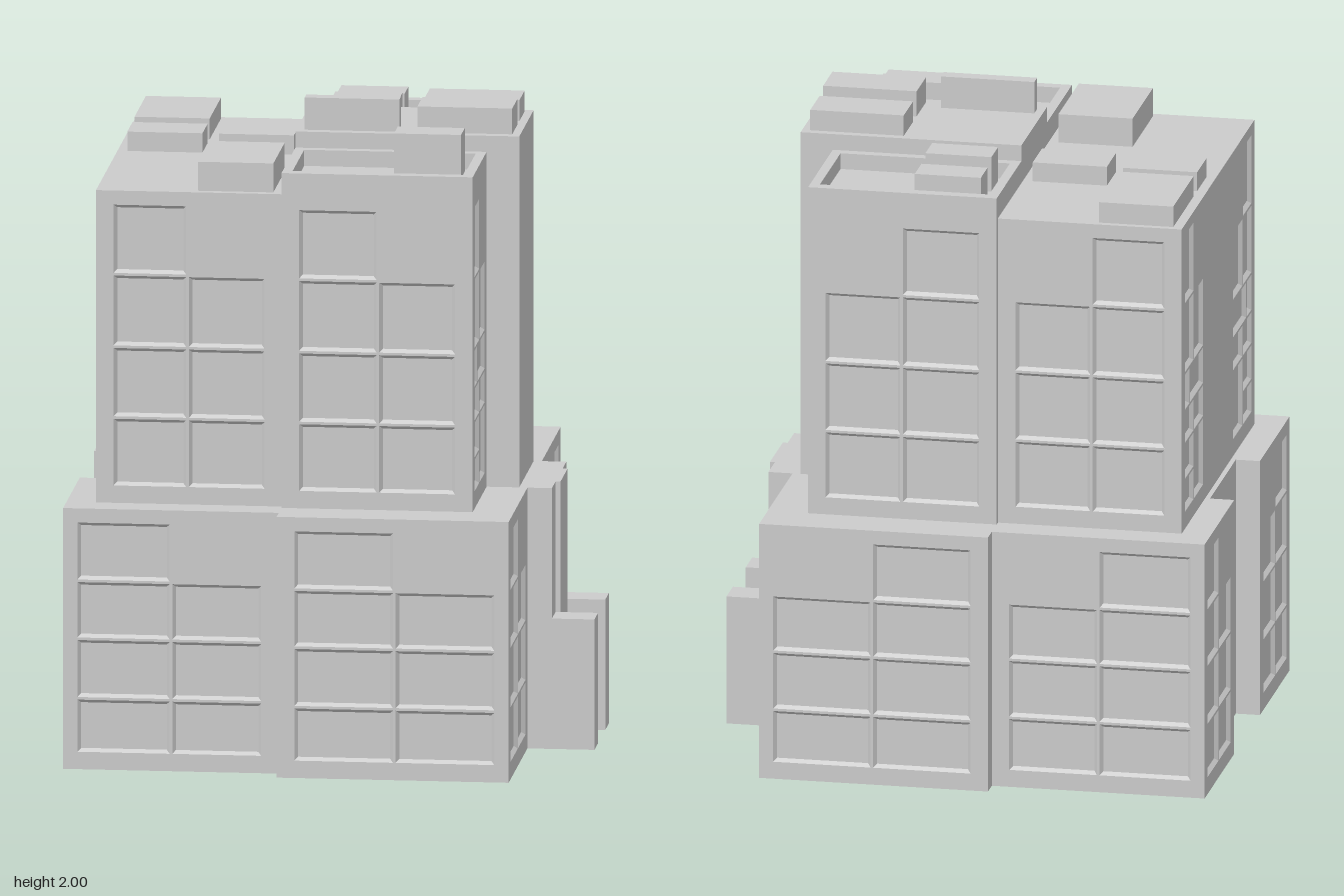
import * as THREE from 'three';
import { mergeGeometries } from 'three/addons/utils/BufferGeometryUtils.js';

const grey = new THREE.MeshStandardMaterial({ color: 0xcccccc, flatShading: true, side: THREE.DoubleSide });

function add(parent, name, geometry) {
  const mesh = new THREE.Mesh(geometry, grey);
  mesh.name = name;
  parent.add(mesh);
  return mesh;
}

function block(parent, name, x0, x1, y0, y1, z0, z1) {
  const g = new THREE.BoxGeometry(x1 - x0, y1 - y0, z1 - z0);
  add(parent, name, g.translate((x0 + x1) / 2, (y0 + y1) / 2, (z0 + z1) / 2));
}

const corners = ([u0, u1, v0, v1]) => [[u0, v0], [u1, v0], [u1, v1], [u0, v1]];
const toPath = (pts, Type = THREE.Path) => new Type(pts.map(([x, y]) => new THREE.Vector2(x, y)));

// Sunken cell: a floor and four (optionally sloping) sides
function sunkCell([u0, u1, v0, v1], depth, slope) {
  const rim = corners([u0, u1, v0, v1]).map(([u, v]) => [u, v, 0]);
  const floor = corners([u0 + slope, u1 - slope, v0 + slope, v1 - slope]).map(([u, v]) => [u, v, -depth]);
  const index = [4, 5, 6, 4, 6, 7];
  for (let i = 0; i < 4; i++) {
    const j = (i + 1) % 4;
    index.push(i, j, j + 4, i, j + 4, i + 4);
  }
  const g = new THREE.BufferGeometry();
  g.setAttribute('position', new THREE.Float32BufferAttribute([...rim, ...floor].flat(), 3));
  g.setIndex(index);
  const flat = g.toNonIndexed();
  flat.computeVertexNormals();
  return flat;
}

// Flat face in the xy plane with sunken cells
function face(points, cells = [], depth = 0.012, slope = 0.01) {
  const shape = toPath(points, THREE.Shape);
  shape.holes = cells.map((c) => toPath(corners(c).reverse()));
  const plane = new THREE.ShapeGeometry(shape).toNonIndexed();
  plane.deleteAttribute('uv');
  return mergeGeometries([plane, ...cells.map((c) => sunkCell(c, depth, slope))]);
}

// Two columns of windows; the top row has only the outer one
function windows(a, m, b, rows, len, flip = false, detailed = false) {
  const cells = [];
  const put = (u0, u1, v0, v1) => {
    const g = 0.004;
    const [s, e] = flip ? [len - u1, len - u0] : [u0, u1];
    cells.push([s + g, e - g, v0 + g, v1 - g]);
  };
  for (let i = 0; i < rows.length - 1; i++) {
    const split = detailed && i === 2 ? m - 0.06 : m;
    put(a, split, rows[i], rows[i + 1]);
    if (i < rows.length - 2) put(split, b, rows[i], rows[i + 1]);
  }
  // Extra sill in the outer column of the lowest storey
  if (detailed) {
    const i = flip ? [len - m, len - a] : [a, m];
    const g = 0.004;
    cells[0] = [i[0] + g, i[1] - g, rows[0] + g, 0.961];
    cells.push([i[0] + g, i[1] - g, 0.969, rows[1] - g]);
  }
  return cells;
}

// Walls along a closed plan outline, each edge with its own windows
function walls(parent, name, outline, y0, y1, cellsByEdge = {}) {
  outline.forEach(([x0, z0], i) => {
    const [x1, z1] = outline[(i + 1) % outline.length];
    const len = Math.hypot(x1 - x0, z1 - z0);
    const mesh = add(parent, name, face(corners([0, len, y0, y1]), cellsByEdge[i]));
    mesh.position.set(x0, 0, z0);
    mesh.rotation.y = Math.atan2(z0 - z1, x1 - x0);
  });
}

// Horizontal roof over a plan outline, with optional sunken wells
function roof(parent, name, outline, y, wells = []) {
  const g = face(outline.map(([x, z]) => [x, -z]), wells, 0.05, 0);
  add(parent, name, g.rotateX(-Math.PI / 2).translate(0, y, 0));
}

const plan = (x0, x1, z0, z1) => [[x0, z1], [x1, z1], [x1, z0], [x0, z0]];

export function createModel() {
  const model = new THREE.Group();
  model.name = 'building';
  const ledge = 0.81;

  // Wide lower storeys: hollow shell with a ring-shaped underside
  const podium = new THREE.Group();
  podium.name = 'podium';
  model.add(podium);
  const base = [
    [-0.79, 0.66], [-0.13, 0.66], [-0.13, 0.72], [0.58, 0.72], [0.58, 0.2], [0.58, -0.2], [0.58, -0.72],
    [-0.13, -0.72], [-0.13, -0.66], [-0.79, -0.66], [-0.79, -0.2], [-0.715, -0.2], [-0.715, 0.2], [-0.79, 0.2],
  ];
  const low = [0.05, 0.22, 0.405, 0.585, 0.77];
  walls(podium, 'podiumWall', base, 0, ledge, {
    0: windows(0.04, 0.33, 0.61, low, 0.66),
    2: windows(0.05, 0.36, 0.67, low, 0.71),
    4: windows(0.05, 0.26, 0.47, low, 0.52),
    5: undefined,
    3: windows(0.05, 0.26, 0.47, low, 0.52),
    4: undefined,
    5: windows(0.05, 0.26, 0.47, low, 0.52, true),
    6: windows(0.05, 0.36, 0.67, low, 0.71, true),
    8: windows(0.04, 0.33, 0.61, low, 0.66, true),
    9: windows(0.04, 0.22, 0.41, low, 0.46),
    13: windows(0.04, 0.22, 0.41, low, 0.46, true),
  });
  roof(podium, 'podiumLedge', base, ledge);
  const under = toPath(base, THREE.Shape);
  under.holes.push(toPath(corners([-0.57, 0.28, -0.37, 0.37])));
  add(podium, 'underside', new THREE.ShapeGeometry(under).rotateX(Math.PI / 2));

  // Entrance projection with two low fins
  block(podium, 'entranceBay', 0.58, 0.67, 0, ledge, -0.1, 0.1);
  for (const [z0, z1] of [[0.1, 0.2], [-0.2, -0.1]]) {
    block(podium, 'entrancePier', 0.58, 0.655, 0, ledge, z0, z1);
    block(podium, 'entranceFin', 0.655, 0.785, 0, 0.405, z0, z1);
  }

  // Upper storeys
  const tower = new THREE.Group();
  tower.name = 'tower';
  model.add(tower);
  const high = [0.86, 1.075, 1.295, 1.52, 1.74];
  const side = [0.86, 1.08, 1.185, 1.305, 1.525, 1.75];

  const wing = plan(-0.7, -0.13, -0.565, 0.565);
  walls(tower, 'wingWall', wing, ledge, 1.78, {
    0: windows(0.05, 0.28, 0.52, high, 0.57),
    2: windows(0.05, 0.28, 0.52, high, 0.57, true),
    3: [false, true].flatMap((flip) => windows(0.045, 0.185, 0.335, side, 1.13, flip, true)),
  });
  roof(tower, 'wingRoof', wing, 1.78);

  const core = plan(-0.13, 0.555, -0.2, 0.2);
  walls(tower, 'coreWall', core, ledge, 1.9);
  roof(tower, 'coreRoof', core, 1.9);

  // Front and back blocks with parapets round a sunken roof
  for (const s of [1, -1]) {
    const z = [0.2 * s, 0.585 * s].sort((a, b) => a - b);
    const well = [-0.23 * s, -0.55 * s].sort((a, b) => a - b);
    const outline = plan(-0.13, 0.455, ...z);
    const broad = windows(0.05, 0.295, 0.535, high, 0.585, s < 0);
    walls(tower, 'blockWall', outline, ledge, 1.85, {
      [s > 0 ? 0 : 2]: broad,
      1: windows(0.045, 0.185, 0.335, side, 0.385, s < 0, true),
    });
    roof(tower, 'parapetRoof', outline, 1.85, [[-0.1, 0.425, ...well]]);
  }

  // Rooftop plant: x0, x1, z0, z1, bottom, top
  const plant = [
    [-0.67, -0.44, -0.545, -0.23, 1.78, 1.845],
    [-0.67, -0.44, -0.175, -0.03, 1.78, 1.84],
    [-0.39, -0.16, -0.175, -0.03, 1.78, 1.84],
    [-0.39, -0.16, 0.225, 0.54, 1.78, 1.87],
    [0.24, 0.53, -0.175, -0.03, 1.9, 1.965],
    [0.24, 0.53, 0.025, 0.17, 1.9, 1.98],
    [-0.105, 0.185, 0.125, 0.17, 1.9, 2],
    [0.19, 0.395, 0.26, 0.365, 1.8, 1.935],
    [-0.07, 0.135, -0.53, -0.425, 1.8, 1.895],
    [-0.07, 0.135, -0.365, -0.26, 1.8, 1.91],
  ];
  for (const [x0, x1, z0, z1, y0, y1] of plant) block(model, 'rooftopUnit', x0, x1, y0, y1, z0, z1);

  return model;
}
